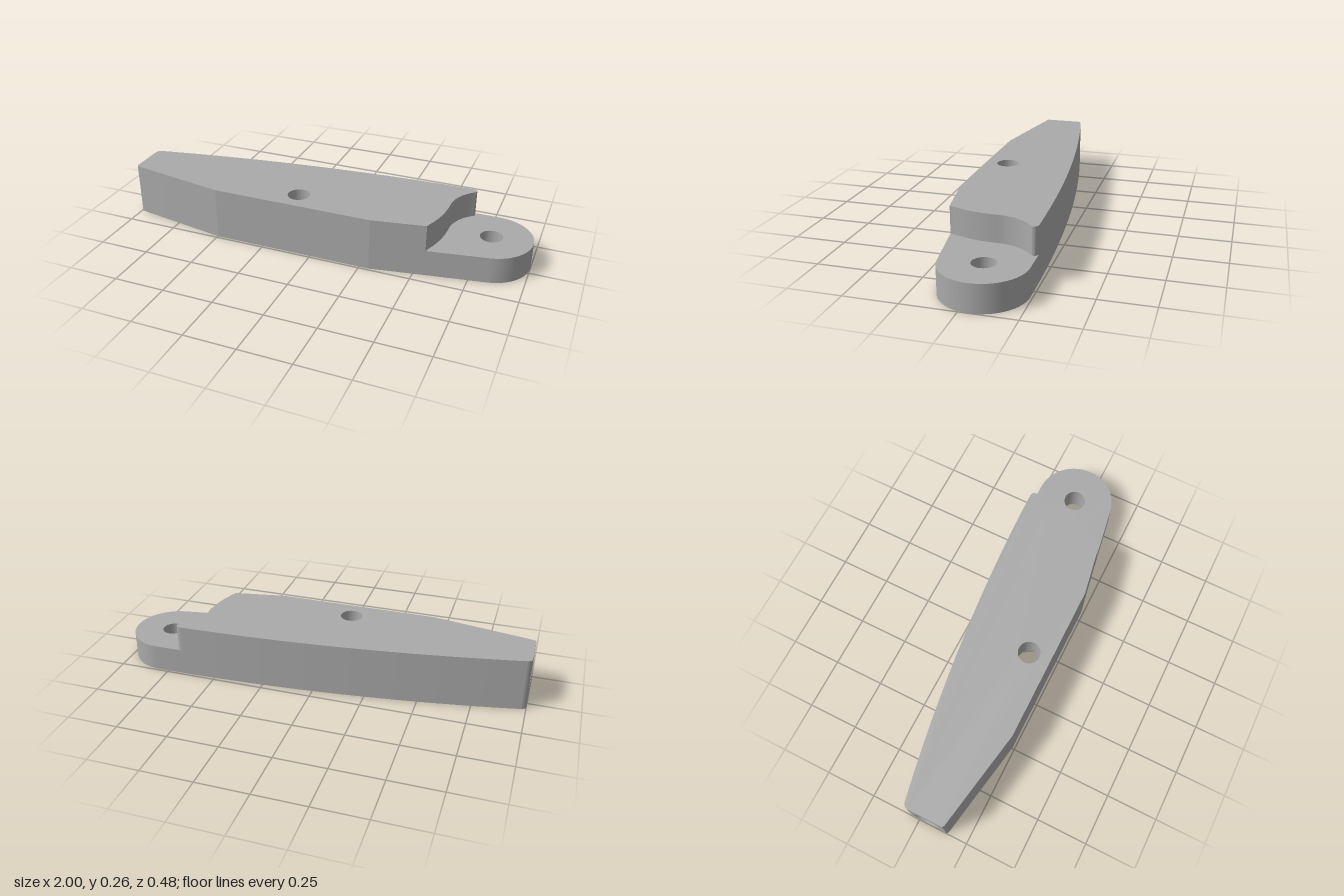
import * as THREE from 'three';
import { toCreasedNormals } from 'three/addons/utils/BufferGeometryUtils.js';

const H = 0.26, STEP = 0.13;           // full height and ledge height
const P = (x, z) => [x, z];

// Points on a circle; angle a measured from +x towards -z (counterclockwise from above)
function arc(cx, cz, r, a0, a1, n) {
  return Array.from({ length: n + 1 }, (_, i) => {
    const a = a0 + (a1 - a0) * i / n;
    return P(cx + r * Math.cos(a), cz - r * Math.sin(a));
  });
}

// Small rounded corner from a to b with control point c
function fillet(a, c, b, n = 14) {
  return Array.from({ length: n + 1 }, (_, i) => {
    const t = i / n, s = 1 - t;
    return P(s * s * a[0] + 2 * s * t * c[0] + t * t * b[0],
      s * s * a[1] + 2 * s * t * c[1] + t * t * b[1]);
  });
}

// Upright strip along a path; faces outwards for a counterclockwise path
function wall(path, y0, y1) {
  const pos = [];
  for (let i = 0; i + 1 < path.length; i++) {
    const [ax, az] = path[i], [bx, bz] = path[i + 1];
    pos.push(ax, y0, az, bx, y0, bz, bx, y1, bz, ax, y0, az, bx, y1, bz, ax, y1, az);
  }
  const g = new THREE.BufferGeometry();
  g.setAttribute('position', new THREE.Float32BufferAttribute(pos, 3));
  return toCreasedNormals(g, 0.15);
}

// Level face with holes at height y, facing up or down
function level(path, holes, y, up) {
  const s = up ? -1 : 1;
  const toV = (p) => p.map(([x, z]) => new THREE.Vector2(x, s * z));
  const shape = new THREE.Shape(toV(path));
  holes.forEach((h) => shape.holes.push(new THREE.Path(toV(h))));
  return new THREE.ShapeGeometry(shape).rotateX(s * Math.PI / 2).translate(0, y, 0);
}

export function createModel() {
  const group = new THREE.Group();
  group.name = 'leverArm';
  const grey = new THREE.MeshStandardMaterial({ color: 0xaaaaaa });
  grey.name = 'grey';
  const add = (name, geo) => {
    const m = new THREE.Mesh(geo, grey);
    m.name = name;
    group.add(m);
  };

  // Outline pieces, counterclockwise from above
  const backZ = (x) => -0.24 + (0.805 - x) ** 2 / 17.3;
  const stepFront = P(0.553, 0.1945), stepBack = P(0.662, backZ(0.662));
  const front = [
    ...fillet(P(-1, 0.138), P(-1, 0.149), P(-0.985, 0.152)),
    P(-0.495, 0.239), P(0.297, 0.239), stepFront,
  ];
  const nose = [
    stepFront,
    ...arc(0.805, -0.045, 0.195, -1.395, Math.PI / 2, 48),
    P(0.73, backZ(0.73)), stepBack,
  ];
  const back = [];
  for (let i = 0; i <= 40; i++) {
    const x = 0.662 + (-0.98 - 0.662) * i / 40;
    back.push(P(x, backZ(x)));
  }
  back.push(...fillet(P(-0.98, backZ(-0.98)), P(-1, -0.049), P(-1, -0.03)).slice(1));

  // S-shaped shoulder: bulging in front, hollow around the pivot, rounded tip
  const shoulder = [
    ...arc(0.067, -0.03, 0.533, -0.434, 0, 16),
    ...arc(0.805, -0.045, 0.205, Math.PI, Math.PI - 0.92, 16),
    ...fillet(P(0.686, -0.215), P(0.69, -0.236), stepBack),
  ];
  shoulder[0] = stepFront;

  // Holes
  const pivot = arc(0.805, -0.045, 0.054, 0, Math.PI * 2, 48);
  const bolt = arc(-0.1, 0.13, 0.054, 0, Math.PI * 2, 48);
  const hex = arc(-0.1, 0.13, 0.103, 0, Math.PI * 2, 6);
  const inward = (p) => p.slice().reverse();

  // Outer skin
  add('frontWall', wall(front, 0, H));
  add('backWall', wall(back, 0, H));
  add('noseWall', wall(nose, 0, STEP));
  add('shoulderWall', wall(shoulder, STEP, H));
  add('topFace', level([...front, ...shoulder.slice(1), ...back.slice(1)], [bolt], H, true));
  add('ledgeFace', level([...nose, ...inward(shoulder).slice(1, -1)], [pivot], STEP, true));
  add('bottomFace', level([...front, ...nose.slice(1), ...back.slice(1)], [pivot, hex], 0, false));

  // Pivot hole, bolt hole and the hexagonal nut pocket beneath it
  add('pivotHole', wall(inward(pivot), 0, STEP));
  add('boltHole', wall(inward(bolt), STEP, H));
  add('nutPocket', wall(inward(hex), 0, STEP));
  add('nutPocketRoof', level(hex, [bolt], STEP, false));

  // Narrow end face with a round bore running along the arm
  const end = new THREE.Shape([[-0.03, 0], [0.138, 0], [0.138, H], [-0.03, H]]
    .map(([u, v]) => new THREE.Vector2(u, v)));
  const R = 0.066, boreZ = 0.052, depth = 0.5;
  end.holes.push(new THREE.Path(arc(boreZ, H / 2, R, 0, Math.PI * 2, 48)
    .map(([u, v]) => new THREE.Vector2(u, v))));
  add('endFace', new THREE.ShapeGeometry(end).rotateY(-Math.PI / 2).translate(-1, 0, 0));
  const bore = arc(0, 0, R, 0, Math.PI * 2, 48);
  const place = (g) => g.rotateZ(-Math.PI / 2).translate(-1, H / 2, boreZ);
  add('endBore', place(wall(inward(bore), 0, depth)));
  add('endBoreFloor', place(level(bore, [], depth, false)));

  return group;
}
